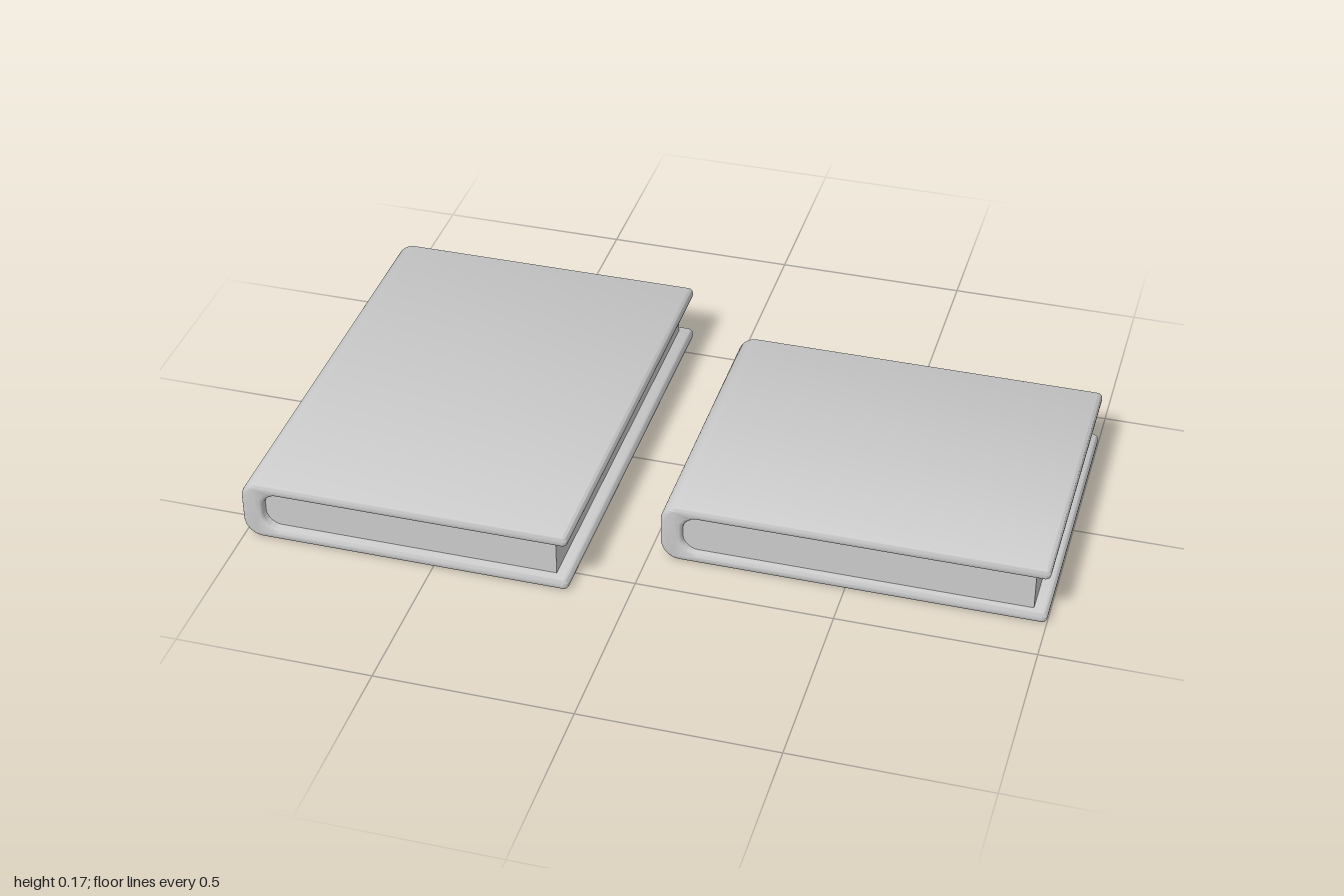
import * as THREE from 'three';
import { toCreasedNormals } from 'three/addons/utils/BufferGeometryUtils.js';

const HEIGHT = 0.165;  // overall thickness of a book
const BOARD = 0.033;   // thickness of a cover board
const SPINE = 0.055;   // thickness of the spine
const material = new THREE.MeshStandardMaterial({ color: 0xcccccc, side: THREE.DoubleSide });

// C-shaped cover section, counter-clockwise: spine at x = 0, open at x = width
function coverShape(width) {
  const R = 0.05, r = 0.04, tip = 0.014, H = HEIGHT, PI = Math.PI;
  const s = new THREE.Shape();
  s.moveTo(R, 0);
  s.lineTo(width - tip, 0);
  s.absarc(width - tip, tip, tip, -PI / 2, 0, false);
  s.absarc(width - tip, BOARD - tip, tip, 0, PI / 2, false);
  s.lineTo(SPINE + r, BOARD);
  s.absarc(SPINE + r, BOARD + r, r, -PI / 2, -PI, true);
  s.absarc(SPINE + r, H - BOARD - r, r, PI, PI / 2, true);
  s.lineTo(width - tip, H - BOARD);
  s.absarc(width - tip, H - BOARD + tip, tip, -PI / 2, 0, false);
  s.absarc(width - tip, H - tip, tip, 0, PI / 2, false);
  s.lineTo(R, H);
  s.absarc(R, H - R, R, PI / 2, PI, false);
  s.absarc(R, R, R, PI, PI * 1.5, false);
  return s;
}

function makeBook(name, x0, x1, depth, pageInset) {
  const book = new THREE.Group();
  book.name = name;
  const width = x1 - x0, bevel = 0.012;

  // Cover: both boards and spine in one rounded extrusion
  const geo = new THREE.ExtrudeGeometry(coverShape(width), {
    depth: depth - 2 * bevel, curveSegments: 8,
    bevelEnabled: true, bevelThickness: bevel, bevelSize: bevel, bevelOffset: -bevel, bevelSegments: 4,
  });
  geo.translate(0, 0, -depth / 2 + bevel);
  const cover = new THREE.Mesh(toCreasedNormals(geo, 0.7), material);
  cover.name = 'cover';
  cover.position.x = x0;

  // Page block, sunk slightly into the spine and boards
  const start = x0 + SPINE - 0.02, end = x1 - 0.035;
  const pages = new THREE.Mesh(
    new THREE.BoxGeometry(end - start, HEIGHT - 2 * BOARD + 0.004, depth - 2 * pageInset), material);
  pages.name = 'pages';
  pages.position.set((start + end) / 2, HEIGHT / 2, 0);

  book.add(cover, pages);
  return book;
}

export function createModel() {
  const model = new THREE.Group();
  model.name = 'books';
  model.add(
    makeBook('tallBook', -1, -0.15, 1.15, 0.024),
    makeBook('wideBook', 0.03, 1, 0.77, 0.016),
  );
  return model;
}
